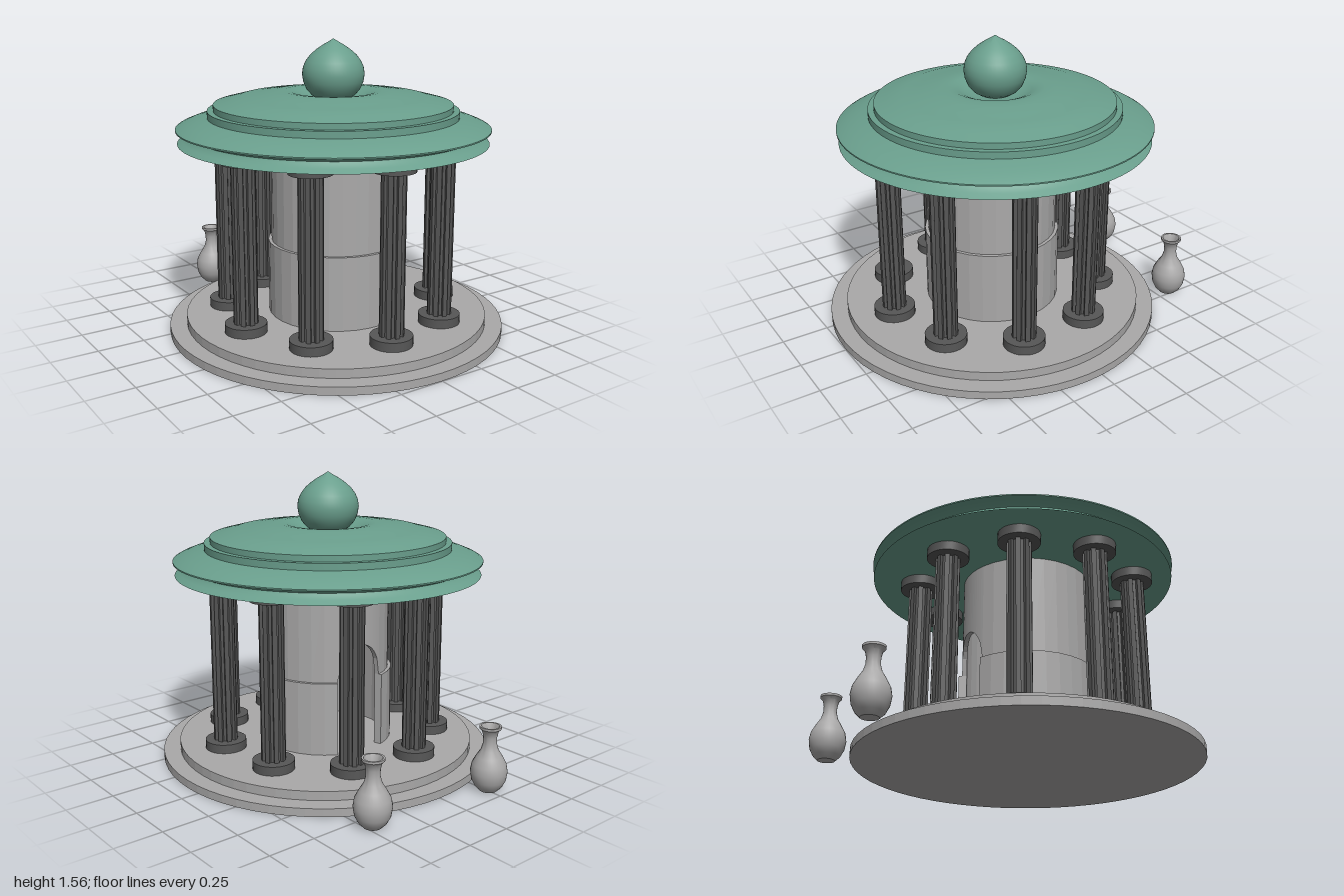
import * as THREE from 'three';
import { toCreasedNormals } from 'three/addons/utils/BufferGeometryUtils.js';

const flat = (name, color) => {
  const m = new THREE.MeshStandardMaterial({ color });
  m.name = name;
  return m;
};

// Lathe from [radius, height] pairs; sharp profile corners stay sharp
function turned(points, segments = 64) {
  const g = new THREE.LatheGeometry(points.map(([r, y]) => new THREE.Vector2(r, y)), segments);
  return toCreasedNormals(g, 0.6);
}

// Faceted ring wall: a rectangular section swept through the given angles
function ringWall(angles, rIn, rOut, bottom, top, capped) {
  const pos = [];
  const loops = angles.map((a) => {
    const b = bottom(a);
    return [[rIn, b], [rOut, b], [rOut, top], [rIn, top]]
      .map(([r, y]) => [r * Math.sin(a), y, r * Math.cos(a)]);
  });
  const quad = (a, b, c, d) => pos.push(...a, ...b, ...c, ...a, ...c, ...d);
  for (let i = 0; i < loops.length - 1; i++) {
    const p = loops[i], q = loops[i + 1];
    for (let j = 0; j < 4; j++) {
      const k = (j + 1) % 4;
      quad(p[j], q[j], q[k], p[k]);
    }
  }
  if (capped) {
    quad(...loops[0]);
    quad(...loops[loops.length - 1].slice().reverse());
  }
  const g = new THREE.BufferGeometry();
  g.setAttribute('position', new THREE.Float32BufferAttribute(pos, 3));
  g.computeVertexNormals();
  return g;
}

// Fluted shaft: square-edged ribs around a round core
function flutedShaft(outer, inner, ribs, height) {
  const shape = new THREE.Shape();
  const step = (Math.PI * 2) / ribs;
  for (let i = 0; i < ribs; i++) {
    [[-0.3, inner], [-0.25, outer], [0.25, outer], [0.3, inner]].forEach(([t, r], j) => {
      const a = (i + t) * step;
      const x = r * Math.cos(a), y = r * Math.sin(a);
      if (i + j === 0) shape.moveTo(x, y);
      else shape.lineTo(x, y);
    });
  }
  shape.closePath();
  const g = new THREE.ExtrudeGeometry(shape, { depth: height, bevelEnabled: false });
  return g.rotateX(-Math.PI / 2);
}

export function createModel() {
  const model = new THREE.Group();
  model.name = 'roundPavilion';

  const stone = flat('paleStone', 0xaaa9a9);
  const darkStone = flat('darkStone', 0x575757);
  const patina = flat('greenCopper', 0x6a9f8d);

  const add = (parent, name, geometry, material, x = 0, y = 0, z = 0) => {
    const mesh = new THREE.Mesh(geometry, material);
    mesh.name = name;
    mesh.position.set(x, y, z);
    parent.add(mesh);
    return mesh;
  };

  // Everything below the roof shares one axis; the doorway faces local -z
  const hall = new THREE.Group();
  hall.name = 'hall';
  hall.position.z = 0.088;
  hall.rotation.y = -0.105;
  model.add(hall);

  // Stepped platform
  const disc = (r, h, n) => toCreasedNormals(new THREE.CylinderGeometry(r, r, h, n), 0.05);
  add(hall, 'lowerStep', disc(0.91, 0.043, 64), stone, 0, 0.0215, 0);
  add(hall, 'upperStep', disc(0.819, 0.048, 64), stone, 0, 0.067, 0);

  // Inner round room: thicker lower wall with a door gap, upper wall with an arch
  const step = Math.PI / 16;
  const half = 2 * step;
  const lowerAngles = [];
  for (let i = -14; i <= 14; i++) lowerAngles.push(i * step);
  const upperAngles = [];
  for (let i = -64; i <= 64; i++) {
    if (i % 4 === 0 || Math.abs(i) > 56) upperAngles.push((i * step) / 4);
  }
  const archBottom = (a) => {
    const t = Math.min(1, (Math.PI - Math.abs(a)) / half);
    return 0.49 + 0.19 * Math.sqrt(Math.max(0, 1 - t * t));
  };
  add(hall, 'lowerWall', ringWall(lowerAngles, 0.325, 0.368, () => 0.09, 0.49, true), stone);
  add(hall, 'upperWall', ringWall(upperAngles, 0.325, 0.35, archBottom, 1.03, false), stone);

  // Ring of nine columns
  const padGeo = toCreasedNormals(new THREE.CylinderGeometry(0.11, 0.11, 0.049, 32), 0.6);
  const shaftGeo = flutedShaft(0.064, 0.047, 8, 0.845);
  for (let i = 0; i < 9; i++) {
    const a = (i * Math.PI * 2) / 9;
    const column = new THREE.Group();
    column.name = 'column' + (i + 1);
    column.position.set(0.59 * Math.sin(a), 0, 0.59 * Math.cos(a));
    column.rotation.y = a;
    add(column, 'columnBase', padGeo, darkStone, 0, 0.115, 0);
    add(column, 'columnShaft', shaftGeo, darkStone, 0, 0.136, 0);
    add(column, 'columnCapital', padGeo, darkStone, 0, 1.003, 0);
    hall.add(column);
  }

  // Pair of hollow vases outside the doorway
  const vaseGeo = turned([
    [0, 0], [0.045, 0], [0.07, 0.025], [0.088, 0.06], [0.095, 0.105], [0.088, 0.145],
    [0.067, 0.185], [0.045, 0.22], [0.035, 0.255], [0.035, 0.29], [0.042, 0.32],
    [0.056, 0.335], [0.056, 0.347], [0.046, 0.347], [0.033, 0.315], [0.028, 0.27], [0, 0.27],
  ], 32);
  for (const side of [-1, 1]) {
    const a = Math.PI + side * 0.362;
    add(hall, side < 0 ? 'leftVase' : 'rightVase', vaseGeo, stone,
      1.03 * Math.sin(a), 0, 1.03 * Math.cos(a));
  }

  // Roof: flared eave, two steps, shallow dome with a dip around the finial
  const roof = new THREE.Group();
  roof.name = 'roof';
  roof.position.z = 0.06;
  model.add(roof);
  add(roof, 'eave', turned([
    [0, 1.027], [0.826, 1.027], [0.797, 1.045], [0.772, 1.062], [0.766, 1.073], [0.778, 1.083],
    [0.805, 1.092], [0.834, 1.097], [0.834, 1.104], [0.815, 1.115], [0.77, 1.133],
    [0.72, 1.148], [0.667, 1.159],
  ], 96), patina);
  add(roof, 'dome', turned([
    [0.667, 1.155], [0.667, 1.195], [0.635, 1.195], [0.635, 1.226], [0.57, 1.243],
    [0.505, 1.26], [0.475, 1.263], [0.4, 1.275], [0.32, 1.287], [0.26, 1.292],
    [0.225, 1.289], [0.19, 1.276], [0.16, 1.26], [0.12, 1.25], [0, 1.25],
  ], 96), patina);
  add(roof, 'finial', turned([
    [0, 1.245], [0.08, 1.248], [0.115, 1.269], [0.142, 1.3], [0.159, 1.34], [0.165, 1.38],
    [0.16, 1.415], [0.146, 1.447], [0.122, 1.479], [0.09, 1.507], [0.055, 1.531],
    [0.025, 1.548], [0, 1.564],
  ], 48), patina);

  return model;
}
